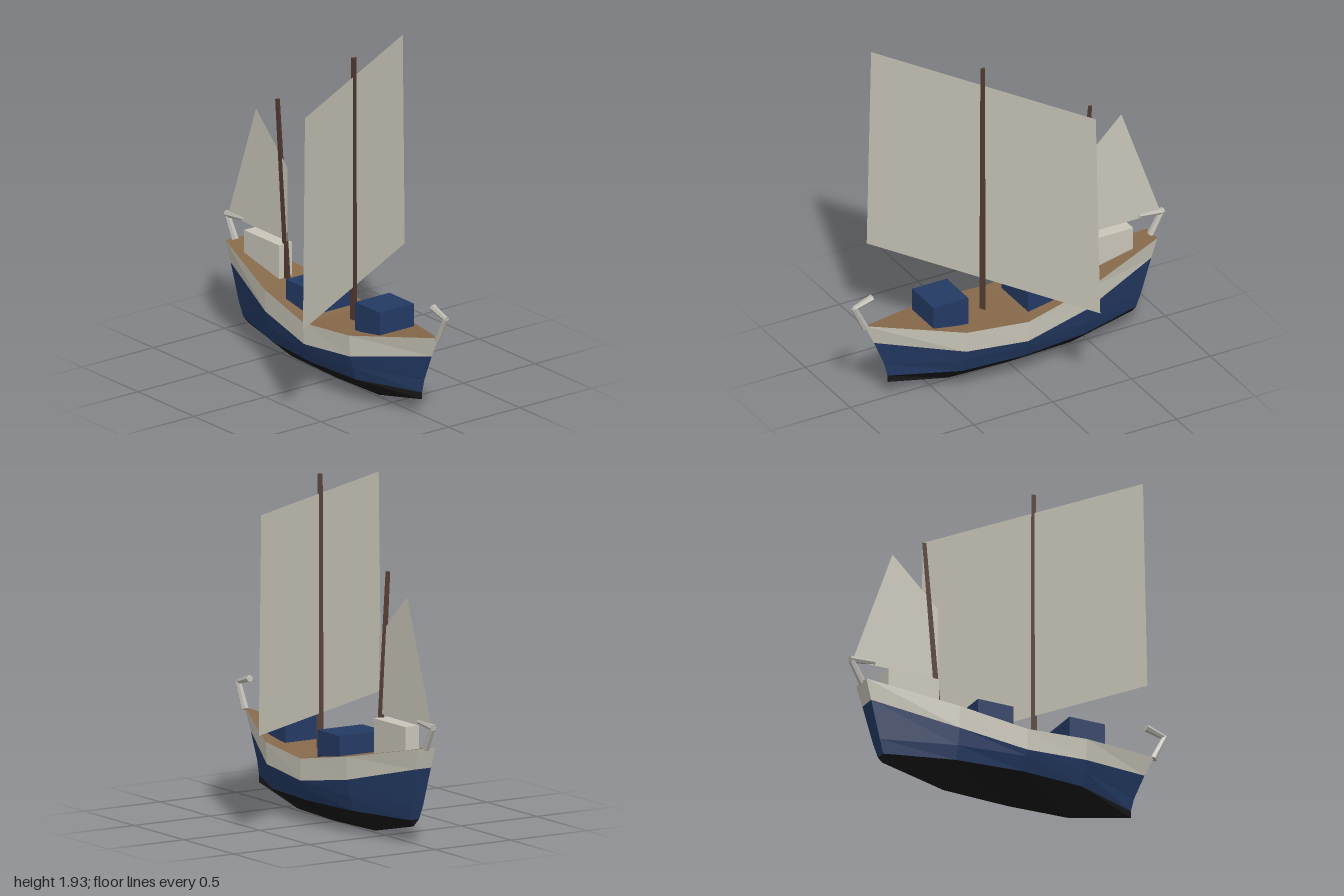
import * as THREE from 'three';

const mat = (name, color, side = THREE.FrontSide) => {
  const m = new THREE.MeshStandardMaterial({ color, side, flatShading: true });
  m.name = name;
  return m;
};

export function createModel() {
  const boat = new THREE.Group();
  boat.name = 'sailingBoat';
  const white = mat('off white paint', 0xc9c5b8);
  const canvas = mat('sail canvas', 0xcac7b9, THREE.DoubleSide);
  const blue = mat('navy blue', 0x243a64);
  const black = mat('black bottom', 0x171717);
  const deckBrown = mat('deck brown', 0x86694a);
  const mastBrown = mat('dark mast wood', 0x523c33);
  const grey = mat('post grey', 0xb9b7af);

  const add = (name, geometry, material) => {
    const mesh = new THREE.Mesh(geometry, material);
    mesh.name = name;
    boat.add(mesh);
    return mesh;
  };

  // Geometry from polygons (each a list of Vector3), skipping collapsed triangles
  const fromPolygons = (polygons) => {
    const pos = [];
    for (const p of polygons) {
      for (let i = 1; i < p.length - 1; i++) {
        const t = new THREE.Triangle(p[0], p[i], p[i + 1]);
        if (t.getArea() > 1e-6) for (const v of [t.a, t.b, t.c]) pos.push(v.x, v.y, v.z);
      }
    }
    const g = new THREE.BufferGeometry();
    g.setAttribute('position', new THREE.Float32BufferAttribute(pos, 3));
    g.computeVertexNormals();
    return g;
  };

  // Hull cross-sections, stern to bow; points are [x, y, half width] from rail to keel
  const stations = [
    [[-0.915, 0.56, 0.06], [-0.88, 0.44, 0.052], [-0.82, 0.22, 0.04], [-0.795, 0.14, 0.03], [-0.785, 0.10, 0]],
    [[-0.4, 0.45, 0.19], [-0.4, 0.32, 0.185], [-0.4, 0.22, 0.168], [-0.4, 0.14, 0.145], [-0.4, 0.015, 0]],
    [[0, 0.38, 0.232], [0, 0.255, 0.229], [0, 0.22, 0.218], [0, 0.14, 0.185], [0, 0.005, 0]],
    [[0.38, 0.41, 0.21], [0.38, 0.285, 0.203], [0.38, 0.22, 0.186], [0.38, 0.14, 0.16], [0.38, 0.015, 0]],
    [[0.91, 0.50, 0], [0.85, 0.375, 0], [0.785, 0.22, 0], [0.765, 0.14, 0], [0.765, 0.10, 0]],
  ];
  const pt = (i, j, s) => {
    const [x, y, w] = stations[i][j];
    return new THREE.Vector3(x, y, w * s);
  };
  const last = stations.length - 1;

  // One band of planking, both sides plus its piece of the transom
  const band = (from, to) => {
    const polys = [];
    for (let j = from; j < to; j++) {
      for (let i = 0; i < last; i++) {
        for (const s of [1, -1]) {
          const quad = [pt(i, j, s), pt(i, j + 1, s), pt(i + 1, j + 1, s), pt(i + 1, j, s)];
          polys.push(s > 0 ? quad : quad.reverse());
        }
      }
      polys.push([pt(0, j, 1), pt(0, j, -1), pt(0, j + 1, -1), pt(0, j + 1, 1)]);
    }
    return fromPolygons(polys);
  };
  add('hullStripe', band(0, 1), white);
  add('hullSides', band(1, 3), blue);
  add('hullBottom', band(3, 4), black);

  const deck = [];
  for (let i = 0; i < last; i++) deck.push([pt(i, 0, 1), pt(i + 1, 0, 1), pt(i + 1, 0, -1), pt(i, 0, -1)]);
  add('deck', fromPolygons(deck), deckBrown);

  // Deck boxes
  const box = (name, x0, x1, y0, y1, depth, material) =>
    add(name, new THREE.BoxGeometry(x1 - x0, y1 - y0, depth), material)
      .position.set((x0 + x1) / 2, (y0 + y1) / 2, 0);
  box('midHatch', -0.265, -0.045, 0.36, 0.54, 0.295, blue);
  box('bowHatch', 0.32, 0.54, 0.38, 0.57, 0.24, blue);
  box('sternLocker', -0.77, -0.455, 0.43, 0.66, 0.09, white);

  // Tapered spar between two points in the centre plane
  const spar = (name, a, b, r0, r1, sides, material) => {
    const p = new THREE.Vector3(a[0], a[1], 0);
    const q = new THREE.Vector3(b[0], b[1], 0);
    const dir = q.clone().sub(p);
    const mesh = add(name, new THREE.CylinderGeometry(r1, r0, dir.length(), sides, 1, false, Math.PI), material);
    mesh.position.copy(p).add(q).multiplyScalar(0.5);
    mesh.rotation.z = Math.atan2(-dir.x, dir.y);
  };
  spar('mainMast', [0.155, 0.33], [0.155, 1.93], 0.023, 0.017, 3, mastBrown);
  spar('rearMast', [-0.433, 0.4], [-0.526, 1.49], 0.021, 0.015, 3, mastBrown);

  // Curved end posts, each a leaning stem with an inward arm
  spar('bowPost', [0.905, 0.488], [0.977, 0.635], 0.021, 0.017, 6, grey);
  spar('bowPostArm', [0.982, 0.63], [0.86, 0.668], 0.014, 0.021, 6, grey);
  spar('sternPost', [-0.905, 0.555], [-0.975, 0.68], 0.021, 0.017, 6, grey);
  spar('sternPostArm', [-0.985, 0.685], [-0.83, 0.697], 0.02, 0.011, 6, grey);

  // Square main sail, set at an angle across the boat
  const v = (x, y, z) => new THREE.Vector3(x, y, z);
  add('mainSail', fromPolygons([[
    v(-0.217, 0.585, -0.648), v(0.527, 0.585, 0.648), v(0.513, 1.82, 0.623), v(-0.203, 1.82, -0.623),
  ]]), canvas);

  // Fore-and-aft rear sail
  add('rearSail', fromPolygons([[
    v(-0.97, 0.68, 0), v(-0.437, 0.68, 0), v(-0.437, 1.11, 0), v(-0.72, 1.38, 0),
  ]]), canvas);

  return boat;
}
